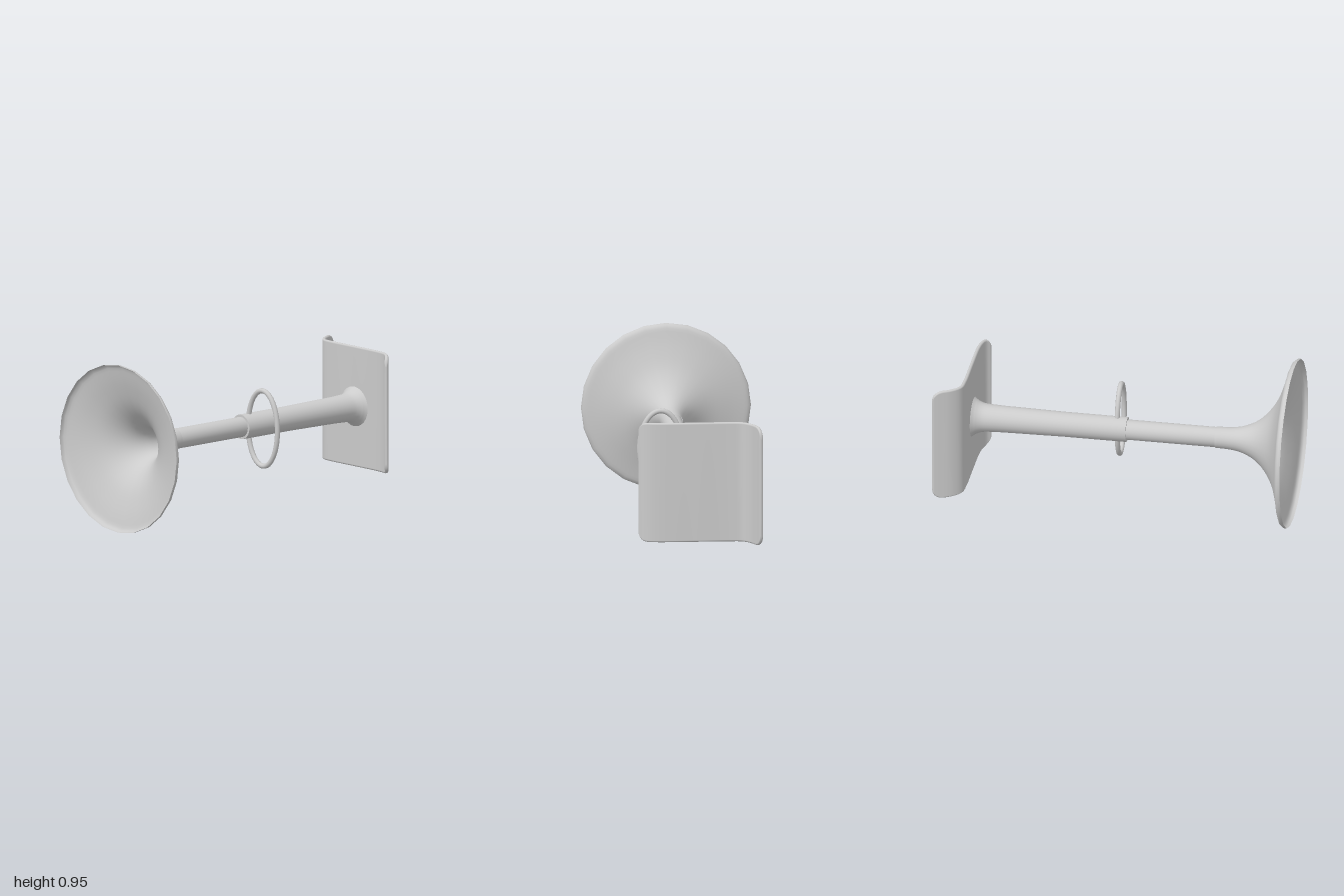
import * as THREE from 'three';
import { toCreasedNormals } from 'three/addons/utils/BufferGeometryUtils.js';

const AXIS_Y = 0.48;
const SIDES = 24;

const v2 = ([r, z]) => new THREE.Vector2(r, z);

// Turned part whose axis lies along z; points are [radius, z].
function turned(points) {
  const g = new THREE.LatheGeometry(points, SIDES);
  g.rotateX(Math.PI / 2);
  return toCreasedNormals(g, 0.7);
}

// Thin curved slab with rounded corners: a cross-section lofted along the seat curve.
function seatGeometry() {
  const curve = new THREE.CatmullRomCurve3([
    [-0.362, -0.992], [-0.345, -0.95], [-0.315, -0.89], [-0.27, -0.845], [-0.2, -0.834],
    [0, -0.829], [0.19, -0.823], [0.25, -0.813], [0.285, -0.798], [0.308, -0.772],
  ].map(([x, z]) => new THREE.Vector3(x, 0, z)));
  const length = curve.getLength();
  const half = 0.343, corner = 0.06, thick = 0.01, arc = 5;
  const loop = 2 * (arc + 1);

  // Stations are denser at the two ends, where the corners round off.
  const ends = [0, 0.004, 0.012, 0.025, 0.04, 0.06].map((d) => d / length);
  const stations = [...ends];
  for (let i = 1; i < 36; i++) stations.push(ends[5] + (1 - 2 * ends[5]) * i / 36);
  stations.push(...ends.map((u) => 1 - u).reverse());

  const pos = [], index = [];
  stations.forEach((u) => {
    const p = curve.getPointAt(u), t = curve.getTangentAt(u);
    const d = Math.min(u, 1 - u) * length;
    const e = Math.max(0, corner - d);
    const h = half - corner + Math.sqrt(corner * corner - e * e);
    const w = d < 0.002 ? thick * 0.5 : thick;
    for (let k = 0; k < loop; k++) {
      const top = k <= arc;
      const a = Math.PI * (top ? k / arc : 1 + (k - arc - 1) / arc);
      const off = w * Math.cos(a);
      const y = (top ? 1 : -1) * (h - thick) + thick * Math.sin(a);
      pos.push(p.x - t.z * off, y, p.z + t.x * off);
    }
  });
  for (let i = 0; i < stations.length - 1; i++) {
    for (let k = 0; k < loop; k++) {
      const a = i * loop + k, b = i * loop + (k + 1) % loop;
      index.push(a, a + loop, b, b, a + loop, b + loop);
    }
  }
  // End caps
  const last = (stations.length - 1) * loop;
  for (let k = 1; k < loop - 1; k++) {
    index.push(0, k, k + 1, last, last + k + 1, last + k);
  }
  const g = new THREE.BufferGeometry();
  g.setAttribute('position', new THREE.Float32BufferAttribute(pos, 3));
  g.setIndex(index);
  g.computeVertexNormals();
  return g;
}

export function createModel() {
  const model = new THREE.Group();
  const grey = new THREE.MeshStandardMaterial({ color: 0xcccccc });
  const thin = new THREE.MeshStandardMaterial({ color: 0xcccccc, side: THREE.DoubleSide });
  const add = (name, geometry, material = grey) => {
    const mesh = new THREE.Mesh(geometry, material);
    mesh.name = name;
    mesh.position.y = AXIS_Y;
    model.add(mesh);
  };

  // Hollow trumpet base with a short rim
  const flare = new THREE.SplineCurve([
    [0.06, 0.56], [0.063, 0.64], [0.075, 0.71], [0.11, 0.785], [0.17, 0.85],
    [0.25, 0.902], [0.36, 0.943], [0.455, 0.968],
  ].map(v2)).getPoints(28);
  add('base', turned([...flare, v2([0.47, 0.975]), v2([0.477, 0.985]), v2([0.477, 1])]), thin);

  // Inner column, closed at the base end
  add('column', turned([[0.057, 0.03], [0.057, 0.6], [0, 0.6]].map(v2)));

  // Outer sleeve, flaring where it meets the seat
  const sleeveFlare = new THREE.SplineCurve([
    [0.116, -0.822], [0.1, -0.803], [0.086, -0.775], [0.079, -0.74], [0.075, -0.65],
  ].map(v2)).getPoints(14);
  add('sleeve', turned([...sleeveFlare, ...[[0.07, -0.3], [0.07, 0.055], [0, 0.055]].map(v2)]));

  // Oval footrest ring passing through the sleeve
  const oval = [];
  for (let i = 0; i < 32; i++) {
    const a = (i / 32) * Math.PI * 2;
    oval.push(new THREE.Vector3(0.118 + 0.119 * Math.cos(a), 0.215 * Math.sin(a), -0.003));
  }
  add('footrest', new THREE.TubeGeometry(new THREE.CatmullRomCurve3(oval, true), 64, 0.0145, 10, true));

  // Seat with a raised back lip and a rolled front edge
  add('seat', seatGeometry());

  return model;
}
